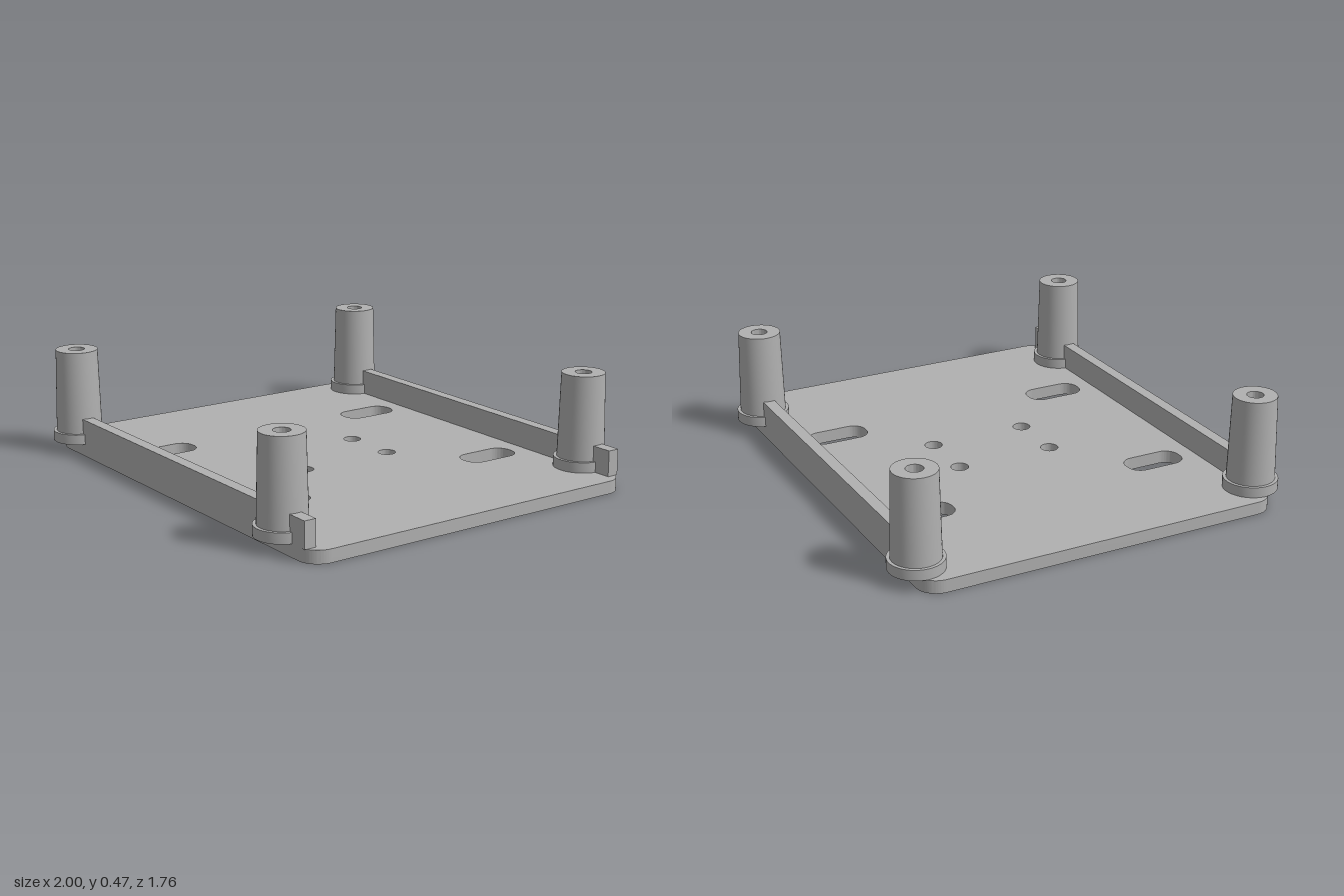
import * as THREE from 'three';
import { toCreasedNormals } from 'three/addons/utils/BufferGeometryUtils.js';

const PLATE_TOP = 0.055;
const HALF_DEPTH = 0.797;
const POST_X = [-0.855, 0.762];
const POST_Z = 0.765;
const BORE = 0.035;

// Rounded rectangle centred on (cx, cy), drawn into a Shape or Path
function roundedRect(path, cx, cy, w, h, r) {
  const x = w / 2, y = h / 2;
  path.absarc(cx + x - r, cy + y - r, r, 0, Math.PI / 2);
  path.absarc(cx - x + r, cy + y - r, r, Math.PI / 2, Math.PI);
  path.absarc(cx - x + r, cy - y + r, r, Math.PI, Math.PI * 1.5);
  path.absarc(cx + x - r, cy - y + r, r, Math.PI * 1.5, Math.PI * 2);
  path.closePath();
  return path;
}

function roundHole(x, y, r) {
  return new THREE.Path().absarc(x, y, r, 0, Math.PI * 2);
}

export function createModel() {
  const grey = new THREE.MeshStandardMaterial({ color: 0xb0b0b0 });
  grey.name = 'grey';
  const model = new THREE.Group();
  model.name = 'mountingPlate';
  const add = (name, geometry, x = 0, y = 0, z = 0) => {
    const mesh = new THREE.Mesh(geometry, grey);
    mesh.name = name;
    mesh.position.set(x, y, z);
    model.add(mesh);
  };

  // Base plate with slots, screw holes and the ends of the post bores
  const outline = roundedRect(new THREE.Shape(), 0, 0, 2, HALF_DEPTH * 2, 0.09);
  for (const side of [-1, 1]) {
    for (const x of [-0.457, 0.417]) {
      outline.holes.push(roundedRect(new THREE.Path(), x, side * 0.544, 0.132, 0.262, 0.058));
    }
    for (const x of [-0.13, 0.125]) outline.holes.push(roundHole(x, side * 0.218, 0.038));
    for (const x of POST_X) outline.holes.push(roundHole(x, side * 0.762, 0.031));
  }
  const plate = new THREE.ExtrudeGeometry(outline, { depth: PLATE_TOP, bevelEnabled: false, curveSegments: 20 });
  plate.rotateX(-Math.PI / 2);
  add('basePlate', toCreasedNormals(plate, 0.6));

  // Tapered hollow post on a collar
  const profile = [
    [BORE, PLATE_TOP], [0.115, PLATE_TOP], [0.115, 0.1], [0.101, 0.1],
    [0.092, 0.465], [BORE, 0.465], [BORE, PLATE_TOP],
  ].map(([r, y]) => new THREE.Vector2(r, y));
  const post = toCreasedNormals(new THREE.LatheGeometry(profile, 48), 0.6);

  // Rail pieces run between the posts and stop short of the bores
  const railSpans = [[-0.8, 0.71], [0.815, 0.952]];
  const railHeight = 0.167 - PLATE_TOP, railWidth = 0.052;

  for (const [side, label] of [[1, 'front'], [-1, 'back']]) {
    POST_X.forEach((x, i) => add(label + (i ? 'Left' : 'Right') + 'Post', post, x, 0, side * POST_Z));
    railSpans.forEach(([a, b], i) => add(
      label + (i ? 'RailEnd' : 'Rail'),
      new THREE.BoxGeometry(b - a, railHeight, railWidth),
      (a + b) / 2, PLATE_TOP + railHeight / 2, side * (HALF_DEPTH - railWidth / 2),
    ));
  }
  return model;
}
